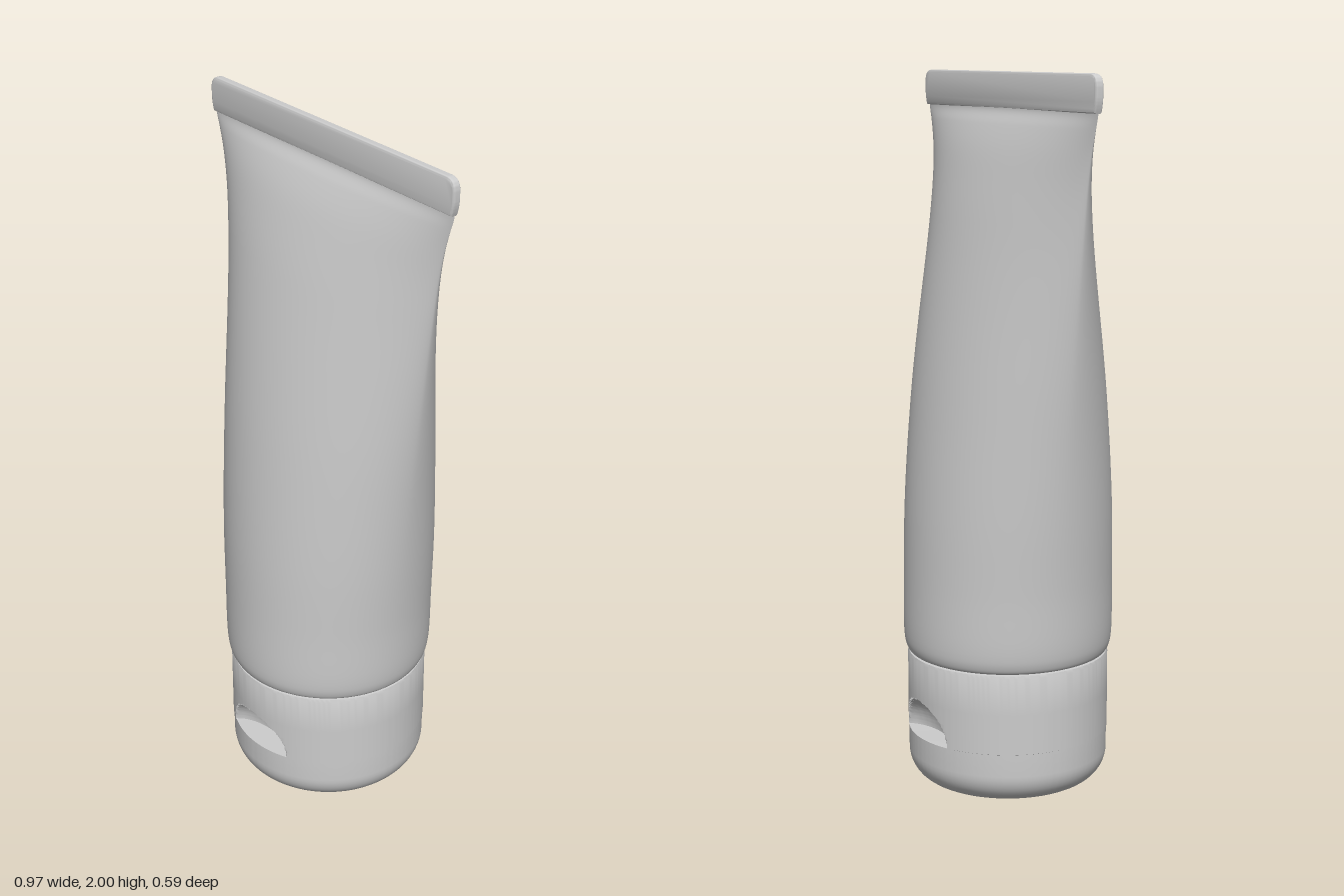
import * as THREE from 'three';
import { mergeVertices, toCreasedNormals } from 'three/addons/utils/BufferGeometryUtils.js';

const plastic = new THREE.MeshStandardMaterial({ color: 0xcccccc });
plastic.name = 'pale grey plastic';

function part(name, geometry) {
  const mesh = new THREE.Mesh(geometry, plastic);
  mesh.name = name;
  return mesh;
}

// Flip cap: a turned profile with a thumb scoop pressed into front and back
function capGeometry() {
  const lidR = 0.283, R = 0.285, ledge = 0.155;
  const profile = [[0, 0], [0.1, 0], [0.195, 0.001]];
  for (let i = 1; i <= 12; i++) {
    const a = (i / 12) * Math.PI / 2;
    profile.push([lidR - 0.083 + 0.083 * Math.sin(a), 0.09 - 0.088 * Math.cos(a)]);
  }
  profile.push([lidR, ledge - 0.001]);
  for (let i = 0; i <= 28; i++) profile.push([R, ledge + (i / 28) * 0.112]);
  profile.push([R, 0.372], [0.282, 0.38], [0.27, 0.382], [0, 0.382]);

  const geo = new THREE.LatheGeometry(profile.map(p => new THREE.Vector2(...p)), 256);
  const pos = geo.attributes.position;
  for (let i = 0; i < pos.count; i++) {
    const x = pos.getX(i), y = pos.getY(i), z = pos.getZ(i);
    if (y < ledge - 0.0005 || y > 0.27) continue;
    const k = 1 - (x / 0.1275) ** 2 - ((y - ledge) / 0.105) ** 2;
    if (k > 0) {
      const wall = R - 0.075 * Math.sqrt(k);
      pos.setZ(i, Math.sign(z) * Math.min(Math.abs(z), wall));
    }
  }
  geo.deleteAttribute('normal');
  geo.deleteAttribute('uv');
  return toCreasedNormals(geo, 0.6);
}

// Squeeze body: round at the cap, flattening and widening to the seal
function bodyGeometry() {
  // half width, height, half depth
  const sections = [
    [0.272, 0.381, 0.272], [0.283, 0.387, 0.283], [0.291, 0.405, 0.291], [0.297, 0.44, 0.295],
    [0.307, 0.6, 0.292], [0.325, 0.8, 0.283], [0.344, 1.0, 0.264], [0.366, 1.2, 0.235],
    [0.389, 1.4, 0.193], [0.414, 1.6, 0.138], [0.432, 1.72, 0.097], [0.449, 1.8, 0.065],
    [0.467, 1.86, 0.034], [0.478, 1.895, 0.012], [0.48, 1.92, 0.008],
  ];
  const spine = new THREE.CatmullRomCurve3(sections.map(s => new THREE.Vector3(...s)));
  let geo = new THREE.CylinderGeometry(1, 1, 1, 128, 112, true);
  geo.deleteAttribute('normal');
  geo.deleteAttribute('uv');
  geo = mergeVertices(geo);
  const pos = geo.attributes.position;
  for (let i = 0; i < pos.count; i++) {
    const s = spine.getPoint(THREE.MathUtils.clamp(pos.getY(i) + 0.5, 0, 1));
    const c = pos.getX(i), n = pos.getZ(i);
    const power = 1 + 0.25 * THREE.MathUtils.smoothstep(s.y, 0.6, 1.8);
    pos.setXYZ(i, s.x * c, s.y, s.z * Math.sign(n) * Math.abs(n) ** power);
  }
  geo.computeVertexNormals();
  return geo;
}

// Flat seal strip with rounded corners and edges
function sealGeometry() {
  const w = 0.487, r = 0.035, bevel = 0.007, depth = 0.01;
  const shape = new THREE.Shape();
  shape.moveTo(-0.478, 1.9);
  shape.lineTo(0.478, 1.9);
  shape.quadraticCurveTo(w, 1.925, w, 1.945);
  shape.lineTo(w, 2 - r);
  shape.quadraticCurveTo(w, 2, w - r, 2);
  shape.lineTo(-w + r, 2);
  shape.quadraticCurveTo(-w, 2, -w, 2 - r);
  shape.lineTo(-w, 1.945);
  shape.quadraticCurveTo(-w, 1.925, -0.478, 1.9);
  const geo = new THREE.ExtrudeGeometry(shape, {
    depth, curveSegments: 10, bevelEnabled: true, bevelSegments: 5,
    bevelSize: bevel, bevelThickness: bevel, bevelOffset: -bevel,
  });
  geo.translate(0, 0, -depth / 2);
  return toCreasedNormals(geo, 0.7);
}

export function createModel() {
  const group = new THREE.Group();
  group.name = 'squeezeTube';
  group.add(
    part('flipCap', capGeometry()),
    part('tubeBody', bodyGeometry()),
    part('sealStrip', sealGeometry()),
  );
  return group;
}
